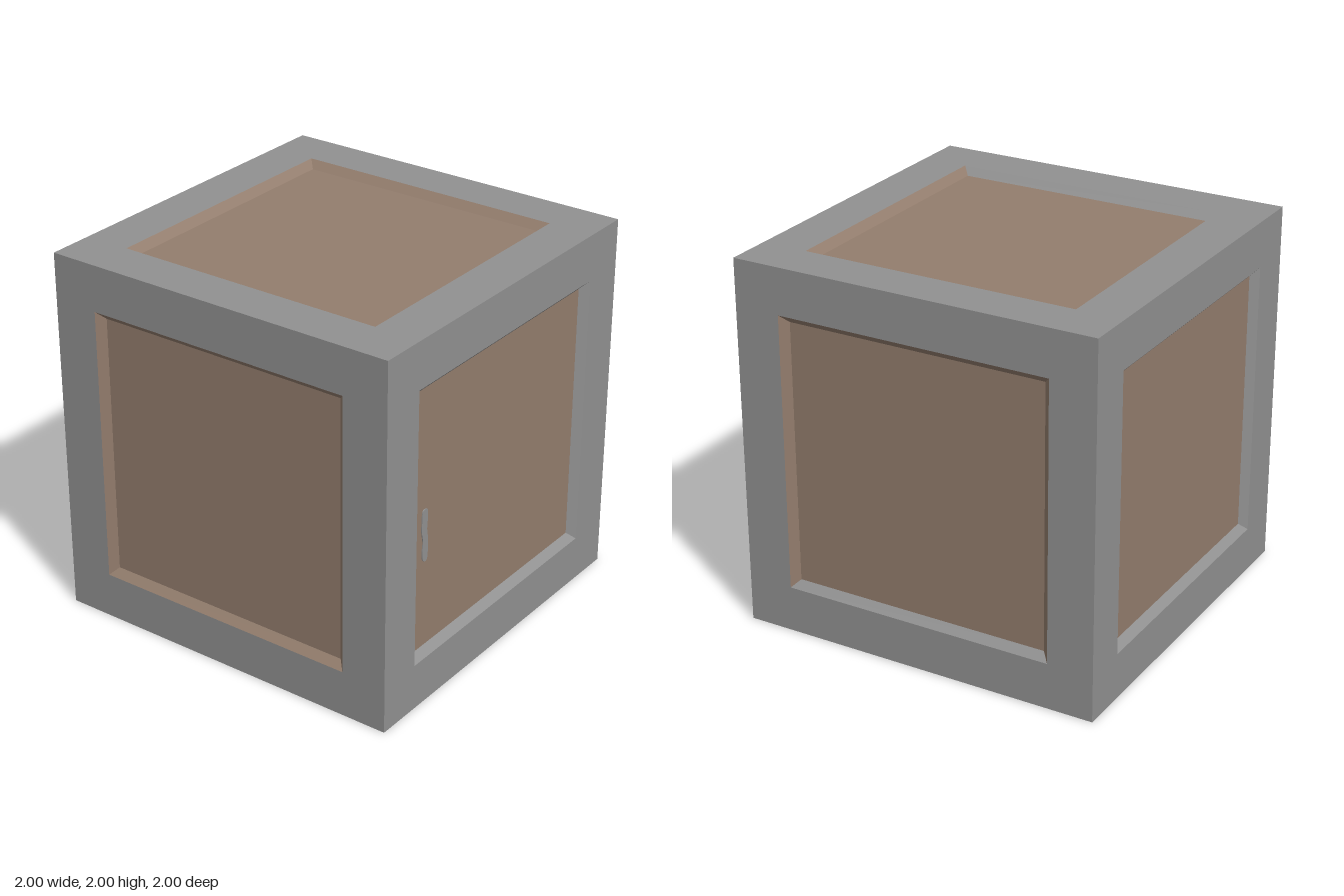
import * as THREE from 'three';

const HALF = 1, OPEN = 0.75, INNER = 0.71, DEPTH = 0.04;

export function createModel() {
  const metal = new THREE.MeshStandardMaterial({ color: 0x919191 });
  metal.name = 'grey metal';
  const wood = new THREE.MeshStandardMaterial({ color: 0x937d6d });
  wood.name = 'brown panel';

  const add = (parent, name, geometry, material) => {
    const mesh = new THREE.Mesh(geometry, material);
    mesh.name = name;
    parent.add(mesh);
    return mesh;
  };
  const square = (path, h) =>
    path.moveTo(-h, -h).lineTo(h, -h).lineTo(h, h).lineTo(-h, h).closePath();

  // Flat border around the opening of one side
  const border = square(new THREE.Shape(), HALF);
  border.holes.push(square(new THREE.Path(), OPEN));
  const borderGeo = new THREE.ShapeGeometry(border);

  // Recessed panel
  const panelGeo = new THREE.PlaneGeometry(2 * INNER, 2 * INNER);

  // Sloped strip from the border down to the panel (lower edge)
  const slopeGeo = new THREE.BufferGeometry();
  slopeGeo.setAttribute('position', new THREE.Float32BufferAttribute([
    -OPEN, -OPEN, 0, OPEN, -OPEN, 0,
    INNER, -INNER, -DEPTH, -INNER, -INNER, -DEPTH], 3));
  slopeGeo.setIndex([0, 1, 2, 0, 2, 3]);
  slopeGeo.computeVertexNormals();

  // Wavy handle plate, centred on its own middle
  const outline = [
    [-0.02, 0.135], [0, 0.145], [0.02, 0.135], [0.022, 0.085], [0.018, 0.03],
    [0.027, -0.03], [0.027, -0.09], [0.022, -0.135], [0.006, -0.145],
    [-0.015, -0.13], [-0.019, -0.085], [-0.014, -0.035], [-0.025, 0.025], [-0.025, 0.08],
  ].map(([x, y]) => new THREE.Vector2(x, y)).reverse();
  const handleShape = new THREE.Shape().moveTo(outline[0].x, outline[0].y);
  handleShape.splineThru([...outline.slice(1), outline[0]]);
  const handleGeo = new THREE.ExtrudeGeometry(handleShape,
    { depth: 0.005, bevelEnabled: false, curveSegments: 40 });

  // Each side: rotation, metal strips (0 lower, 1 right, 2 upper, 3 left), handle centre
  const sides = [
    { name: 'front', rot: [0, 0], metalStrips: [0, 1, 2, 3], handle: [-0.63, 0.915 - 1] },
    { name: 'back', rot: [0, Math.PI], metalStrips: [0, 1, 2, 3] },
    { name: 'left', rot: [0, Math.PI / 2], metalStrips: [0] },
    { name: 'right', rot: [0, -Math.PI / 2], metalStrips: [] },
    { name: 'top', rot: [-Math.PI / 2, 0], metalStrips: [3] },
    { name: 'bottom', rot: [Math.PI / 2, 0], metalStrips: [], handle: [-0.25, 0.08] },
  ];

  const model = new THREE.Group();
  model.name = 'crate';
  for (const { name, rot, metalStrips, handle } of sides) {
    const side = new THREE.Group();
    side.name = `${name}Side`;
    side.rotation.set(rot[0], rot[1], 0);
    side.position.set(0, 0, HALF).applyEuler(side.rotation);
    side.position.y += HALF;
    model.add(side);

    add(side, `${name}Frame`, borderGeo, metal);
    add(side, `${name}Panel`, panelGeo, wood).position.z = -DEPTH;
    for (let k = 0; k < 4; k++) {
      const strip = add(side, `${name}Slope${k + 1}`, slopeGeo,
        metalStrips.includes(k) ? metal : wood);
      strip.rotation.z = k * Math.PI / 2;
    }
    if (handle) {
      add(side, `${name}Handle`, handleGeo, metal).position.set(handle[0], handle[1], -DEPTH);
    }
  }
  return model;
}
